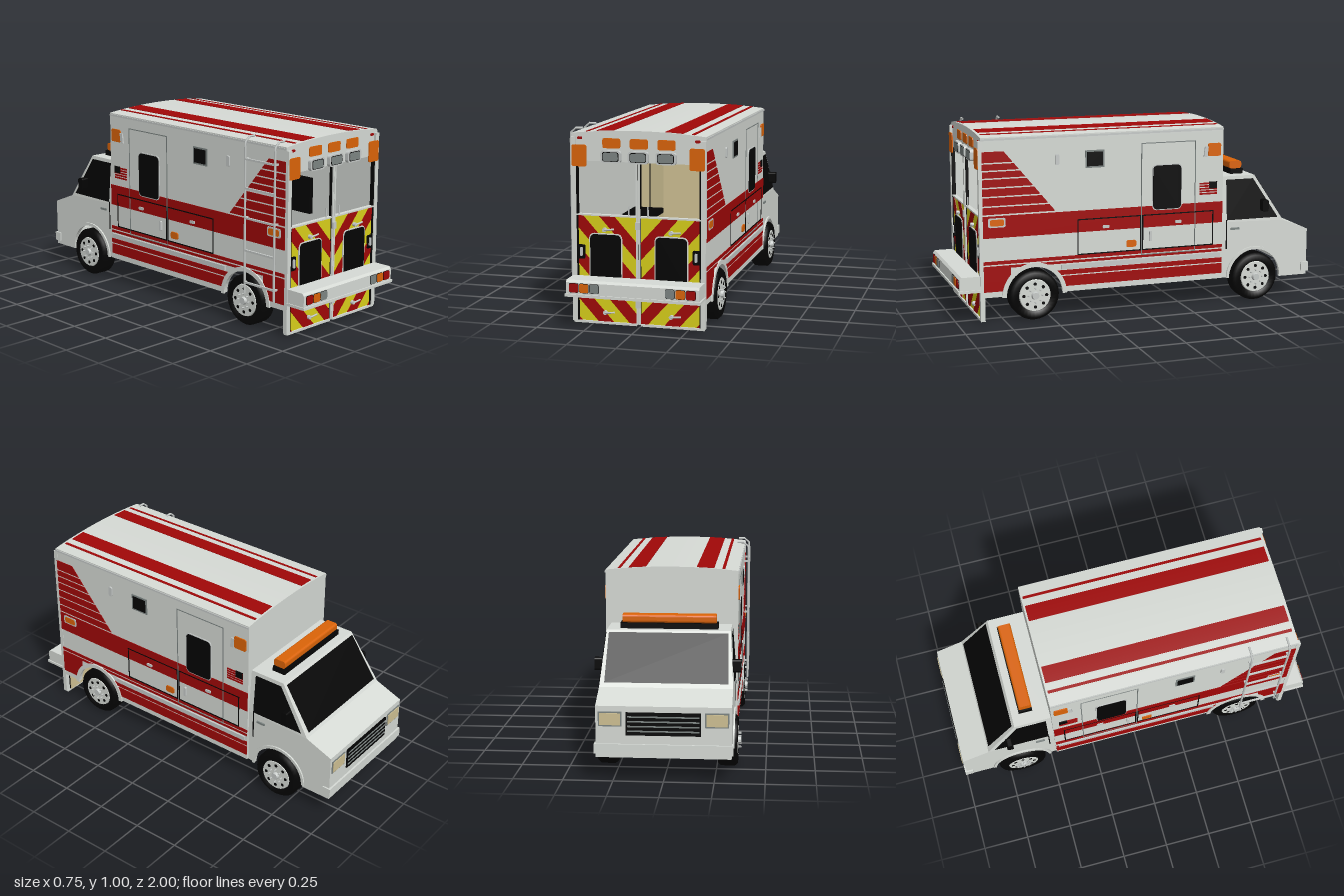
import * as THREE from 'three';

const mat = (name, color) => {
  const m = new THREE.MeshStandardMaterial({ color, side: THREE.DoubleSide });
  m.name = name;
  return m;
};

export function createModel() {
  const white = mat('white', 0xd6dad5), red = mat('red', 0xa00707), yellow = mat('yellow', 0xd9d01a);
  const amber = mat('amber', 0xdb6408), black = mat('black', 0x040404), tan = mat('tan', 0xcfc194);
  const grey = mat('grey', 0x7d8583), silver = mat('silver', 0xc6cac8);
  const root = new THREE.Group();
  root.name = 'ambulance';

  const add = (name, geo, m) => {
    const mesh = new THREE.Mesh(geo, m);
    mesh.name = name;
    root.add(mesh);
    return mesh;
  };
  // Box from its limits on each axis
  const box = (name, m, x0, x1, y0, y1, z0, z1) =>
    add(name, new THREE.BoxGeometry(Math.abs(x1 - x0), y1 - y0, z1 - z0), m)
      .position.set((x0 + x1) / 2, (y0 + y1) / 2, (z0 + z1) / 2);
  const extrude = (pts, depth) => new THREE.ExtrudeGeometry(
    new THREE.Shape(pts.map(p => new THREE.Vector2(p[0], p[1]))), { depth, bevelEnabled: false });
  // Plate on the rear, outline in (x, y)
  const rear = (name, m, pts, z, d = 0.005) => add(name, extrude(pts, d).translate(0, 0, z), m);
  // Plate on a side, outline in (z, y); s = 1 or -1
  const side = (name, m, s, pts, x = 0.345, d = 0.003) => add(name,
    extrude(pts.map(p => [-s * p[0], p[1]]), d).rotateY(s * Math.PI / 2).translate(s * x, 0, 0), m);
  const arc = (cu, cv, r, a0, a1, n) => Array.from({ length: n + 1 }, (_, i) => {
    const a = a0 + (a1 - a0) * i / n;
    return [cu + r * Math.cos(a), cv + r * Math.sin(a)];
  });
  const rect = (u0, u1, v0, v1) => [[u0, v0], [u1, v0], [u1, v1], [u0, v1]];
  const rr = (u0, u1, v0, v1, r = 0.01) => [[u1 - r, v1 - r], [u0 + r, v1 - r], [u0 + r, v0 + r], [u1 - r, v0 + r]]
    .flatMap(([u, v], i) => arc(u, v, r, i * Math.PI / 2, (i + 1) * Math.PI / 2, 4));
  // Flat face through corner points
  const face = (name, m, ...p) => {
    const g = new THREE.BufferGeometry();
    const v = [];
    for (let i = 1; i < p.length - 1; i++) v.push(...p[0], ...p[i], ...p[i + 1]);
    g.setAttribute('position', new THREE.Float32BufferAttribute(v, 3));
    g.computeVertexNormals();
    return add(name, g, m);
  };
  const tube = (name, m, pts, r) => add(name, new THREE.TubeGeometry(
    new THREE.CatmullRomCurve3(pts.map(p => new THREE.Vector3(...p)), false, 'catmullrom', 0.1), 24, r, 8), m);

  const RZ = 0.594, FZ = -0.668, WY = 0.135;

  // Arched roof and its stripes
  const roofY = x => 0.997 - 0.019 * (x / 0.345) ** 2;
  const strip = (x0, x1) => Array.from({ length: 13 }, (_, i) => x0 + (x1 - x0) * i / 12);
  add('roof', extrude([...strip(-0.345, 0.345).map(x => [x, roofY(x)]), [0.345, 0.955], [-0.345, 0.955]], 1.34)
    .translate(0, 0, -0.47), white);
  for (const [a, b] of [[-0.276, -0.261], [-0.219, -0.129], [0.135, 0.225], [0.268, 0.283]]) {
    const xs = strip(a, b);
    add('roofStripe', extrude([...xs.map(x => [x, roofY(x) + 0.0025]), ...xs.reverse().map(x => [x, roofY(x) - 0.001])], 1.315)
      .translate(0, 0, -0.46), red);
  }

  // Box body: floor, front wall and interior
  box('floor', tan, -0.325, 0.325, 0.285, 0.3, -0.47, 0.86);
  box('frontWall', white, -0.345, 0.345, 0.285, 0.96, -0.47, -0.45);
  box('innerFrontWall', tan, -0.325, 0.325, 0.3, 0.955, -0.45, -0.44);
  box('cabinet', tan, -0.325, -0.25, 0.3, 0.74, -0.44, -0.15);
  box('cabinetEdge', black, -0.25, -0.246, 0.4, 0.7, -0.16, -0.15);
  box('seatPad', black, -0.19, -0.03, 0.49, 0.515, 0.32, 0.54);
  for (const x of [-0.17, -0.06]) for (const z of [0.34, 0.5]) box('seatLeg', silver, x - 0.008, x + 0.008, 0.3, 0.49, z, z + 0.016);
  box('jumpSeat', black, 0.3, 0.325, 0.45, 0.65, 0.2, 0.45);

  for (const s of [1, -1]) {
    const arch = arc(RZ, WY, 0.155, 0.03, Math.PI - 0.03, 20);
    side('sideWall', white, s, [[0.87, 0.14], [0.87, 0.965], [-0.47, 0.965], [-0.47, 0.14], ...arch.slice().reverse()], 0.325, 0.02);
    side('roofEdge', silver, s, rect(-0.47, 0.87, 0.962, 0.972), 0.345, 0.004);
    // Red markings
    side('redBand', red, s, rect(-0.468, 0.865, 0.455, 0.57));
    const edge = y => 0.75 - (0.905 - y) * 0.836;
    const cuts = [0.909, 0.845, 0.805, 0.765, 0.717, 0.67, 0.62, 0.575];
    for (let i = 0; i < 7; i++) {
      const t = cuts[i] - 0.004, b = cuts[i + 1] + 0.004;
      side('slantStripe', red, s, [[0.865, b], [0.865, t], [edge(t), t], [edge(b), b]]);
    }
    const half = y => Math.sqrt(Math.max(0, 0.165 ** 2 - (y - WY) ** 2));
    for (const [b, t] of [[0.17, 0.225], [0.232, 0.257], [0.293, 0.306], [0.314, 0.332]]) {
      side('lowerStripe', red, s, [[0.865, b], [0.865, t], [RZ + half(t), t], [RZ + half(b), b]]);
      side('lowerStripe', red, s, [[RZ - half(b), b], [RZ - half(t), t], [-0.468, t], [-0.468, b]]);
    }
    side('rearLowerFill', red, s, rect(0.72, 0.865, 0.22, 0.3));
    side('rubRail', silver, s, rect(-0.455, 0.45, 0.262, 0.288), 0.345, 0.01);
    // Wheel arch trims
    for (const [z, x, o] of [[RZ, 0.343, 0.175], [FZ, 0.333, 0.168]])
      side('wheelArch', white, s, [...arc(z, WY, o, 0, Math.PI, 24), ...arc(z, WY, 0.152, Math.PI, 0, 24)], x, 0.01);
    // Locker outlines and side door
    const outline = (name, m, z0, z1, y0, y1, w, x) => {
      for (const r of [rect(z0, z1, y0, y0 + w), rect(z0, z1, y1 - w, y1), rect(z0, z0 + w, y0, y1), rect(z1 - w, z1, y0, y1)])
        side(name, m, s, r, x, 0.002);
    };
    outline('lockerSeam', black, 0.002, 0.358, 0.332, 0.525, 0.006, 0.347);
    outline('lockerSeam', black, -0.415, -0.004, 0.332, 0.525, 0.006, 0.347);
    outline('sideDoorSeam', grey, -0.31, 0.002, 0.305, 0.912, 0.005, 0.3465);
    side('doorWindowFrame', silver, s, rr(-0.23, -0.06, 0.545, 0.792, 0.025), 0.345, 0.005);
    side('doorWindow', black, s, rr(-0.225, -0.065, 0.55, 0.787, 0.022), 0.345, 0.007);
    side('smallWindowFrame', grey, s, rect(0.208, 0.312, 0.795, 0.888), 0.345, 0.005);
    side('smallWindow', black, s, rect(0.217, 0.303, 0.804, 0.879), 0.345, 0.007);
    side('sideVent', silver, s, rr(0.455, 0.477, 0.82, 0.876, 0.008), 0.345, 0.008);
    side('sideLamp', silver, s, [[-0.355, 0.82], [-0.362, 0.875], [-0.382, 0.875], [-0.375, 0.82]], 0.345, 0.008);
    side('frontAmberLight', amber, s, rr(-0.455, -0.38, 0.822, 0.892), 0.345, 0.006);
    side('lowerAmberLight', amber, s, rr(0.03, 0.085, 0.355, 0.392), 0.345, 0.006);
    side('rearMarkerFrame', silver, s, rr(0.745, 0.838, 0.51, 0.56), 0.345, 0.005);
    side('rearMarker', amber, s, rr(0.755, 0.828, 0.518, 0.552), 0.345, 0.007);
    for (const z of [0.2, -0.21]) side('lockerHandle', silver, s, rr(z - 0.018, z + 0.018, 0.468, 0.484, 0.005), 0.345, 0.009);
    side('doorHandle', silver, s, rr(-0.058, -0.044, 0.38, 0.435, 0.005), 0.345, 0.012);
    // Striped panel
    for (let i = 0; i < 5; i++) side('panelStripe', red, s, rect(-0.435, -0.333, 0.613 + i * 0.014, 0.622 + i * 0.014));
    side('panelCorner', black, s, rect(-0.435, -0.39, 0.645, 0.682), 0.345, 0.005);

    // Wheels
    for (const z of [RZ, FZ]) {
      const wheel = new THREE.Group();
      wheel.name = 'wheel';
      const part = (name, geo, m, y, x = 0, zz = 0) => {
        const p = new THREE.Mesh(geo, m);
        p.name = name;
        p.position.set(x, y, zz);
        wheel.add(p);
      };
      const prof = [[0, -0.045], [0.085, -0.05], [0.12, -0.05], [0.133, -0.035], [0.133, 0.035], [0.12, 0.05], [0.088, 0.05], [0.085, 0.03], [0, 0.03]];
      part('tyre', new THREE.LatheGeometry(prof.map(p => new THREE.Vector2(...p)), 32), black, 0);
      part('hub', new THREE.CylinderGeometry(0.083, 0.088, 0.016, 28), white, 0.042);
      part('hubCap', new THREE.CylinderGeometry(0.018, 0.022, 0.016, 16), silver, 0.057);
      for (let i = 0; i < 8; i++) {
        const a = i * Math.PI / 4, c = Math.cos(a), d = Math.sin(a);
        part('hubHole', new THREE.CylinderGeometry(0.009, 0.009, 0.003, 10), black, 0.05, 0.062 * c, 0.062 * d);
        part('wheelNut', new THREE.CylinderGeometry(0.004, 0.004, 0.016, 6), silver, 0.058, 0.038 * c, 0.038 * d);
      }
      wheel.rotation.z = -s * Math.PI / 2;
      wheel.position.set(s * 0.307, WY, z);
      root.add(wheel);
    }

    // Cab side: lower panel with arch, pillar panel, window, mirror
    side('cabSide', white, s, [[-0.47, 0.14], [-0.47, 0.45], [-0.84, 0.44], [-0.99, 0.38], [-0.99, 0.12], [-0.823, 0.12],
      ...arc(FZ, WY, 0.155, Math.PI, 0, 20)], 0.318, 0.017);
    face('cabPillars', white, [s * 0.335, 0.45, -0.47], [s * 0.335, 0.44, -0.84], [s * 0.315, 0.7, -0.67], [s * 0.315, 0.7, -0.47]);
    face('cabSideWindow', black, [s * 0.339, 0.46, -0.5], [s * 0.339, 0.46, -0.805], [s * 0.321, 0.682, -0.66], [s * 0.321, 0.682, -0.5]);
    side('cabDoorSeam', black, s, rect(-0.503, -0.497, 0.3, 0.46), 0.335, 0.002);
    side('cabDoorHandle', grey, s, rect(-0.575, -0.525, 0.405, 0.416), 0.335, 0.008);
    side('mirror', black, s, rr(-0.735, -0.7, 0.5, 0.566), 0.325, 0.047);
    box('headlightFrame', grey, s * 0.205, s * 0.322, 0.278, 0.352, -0.994, -0.985);
    box('headlight', tan, s * 0.212, s * 0.315, 0.285, 0.345, -0.998, -0.985);
  }

  // Cab shell
  const span = (name, m, a, b) => face(name, m, [-a[0], a[1], a[2]], [a[0], a[1], a[2]], [b[0], b[1], b[2]], [-b[0], b[1], b[2]]);
  span('cabRoof', white, [0.315, 0.7, -0.47], [0.315, 0.7, -0.67]);
  span('windshieldPanel', white, [0.315, 0.7, -0.67], [0.335, 0.44, -0.84]);
  span('windshield', black, [0.303, 0.69, -0.683], [0.31, 0.462, -0.833]);
  span('hood', white, [0.335, 0.44, -0.84], [0.335, 0.38, -0.99]);
  span('cabFront', white, [0.335, 0.38, -0.99], [0.335, 0.12, -0.99]);
  box('grille', black, -0.185, 0.185, 0.235, 0.35, -0.997, -0.985);
  for (let i = 0; i < 4; i++) box('grilleBar', grey, -0.178, 0.178, 0.253 + i * 0.024, 0.26 + i * 0.024, -1, -0.99);
  box('frontBumper', white, -0.343, 0.343, 0.14, 0.19, -1, -0.955);
  box('lightBarBase', black, -0.25, 0.25, 0.7, 0.728, -0.63, -0.555);
  add('lightBar', extrude(rr(0.555, 0.625, 0.728, 0.77, 0.012), 0.48).rotateY(Math.PI / 2).translate(-0.24, 0, 0), amber);

  // Rear header, posts and lamps
  box('rearHeader', white, -0.345, 0.345, 0.84, 0.965, 0.85, 0.87);
  for (const x of [-0.138, 0.004, 0.145]) {
    rear('rearAmberLight', amber, rr(x - 0.046, x + 0.046, 0.907, 0.957), 0.87);
    rear('rearLampFrame', silver, rr(x - 0.052, x + 0.052, 0.836, 0.897, 0.015), 0.87, 0.02);
    rear('rearLampRim', black, rr(x - 0.042, x + 0.042, 0.843, 0.89), 0.888, 0.003);
    rear('rearLamp', grey, rr(x - 0.039, x + 0.039, 0.846, 0.887), 0.89, 0.003);
  }
  box('centreSeal', black, -0.013, 0.013, 0.02, 0.84, 0.86, 0.876);
  for (const x of [-0.006, 0.006]) box('centrePost', white, x - 0.0045, x + 0.0045, 0.02, 0.84, 0.864, 0.884);

  // Keep the part of a convex outline where f is positive
  const clip = (pts, f) => pts.flatMap((p, i) => {
    const q = pts[(i + 1) % pts.length], a = f(p), b = f(q), out = a >= 0 ? [p] : [];
    if (a * b < 0) out.push([p[0] + (q[0] - p[0]) * a / (a - b), p[1] + (q[1] - p[1]) * a / (a - b)]);
    return out;
  });
  for (const s of [1, -1]) {
    const X = (a, b) => [Math.min(s * a, s * b), Math.max(s * a, s * b)];
    box('rearPost', white, s * 0.322, s * 0.347, 0.02, 0.96, 0.86, 0.884);
    box('rearPostSeal', black, s * 0.314, s * 0.322, 0.02, 0.84, 0.86, 0.88);
    // Chevron doors
    box('doorInside', tan, s * 0.012, s * 0.314, 0.02, 0.565, 0.855, 0.865);
    box('rearDoor', yellow, s * 0.012, s * 0.314, 0.02, 0.565, 0.865, 0.873);
    for (const [y0, y1] of [[0.565, 0.573], [0.012, 0.024]]) box('doorTrim', white, s * 0.012, s * 0.34, y0, y1, 0.858, 0.882);
    for (let c = 0.125; c < 0.9; c += 0.165) {
      const at = (o, y) => [c + o + (y - 0.565) * 0.9, y];
      let p = [at(0, 0.024), at(0.08, 0.024), at(0.08, 0.565), at(0, 0.565)];
      p = clip(clip(p, q => q[0] - 0.012), q => 0.314 - q[0]);
      if (p.length > 2) rear('chevron', red, p.map(q => [s * q[0], q[1]]), 0.873, 0.003);
    }
    rear('rearWindowFrame', white, rr(...X(0.084, 0.257), 0.2, 0.478, 0.025), 0.873, 0.006);
    rear('rearWindow', black, rr(...X(0.09, 0.251), 0.205, 0.472, 0.022), 0.873, 0.009);
    rear('latchPlate', black, rr(...X(0.28, 0.316), 0.343, 0.415, 0.006), 0.873, 0.007);
    rear('latch', silver, rr(...X(0.291, 0.304), 0.358, 0.402, 0.004), 0.873, 0.014);
    // Door handles point the same way on both doors
    const hx = s > 0 ? 0.17 : -0.175;
    for (const y of [0.497, 0.071]) {
      tube('rearHandle', silver, [[hx, y, 0.888], [hx + 0.025, y + 0.003, 0.89], [hx + 0.052, y + 0.005, 0.888]], 0.005);
      rear('handleKnob', silver, arc(hx, y, 0.011, 0, Math.PI * 2, 12).slice(1), 0.873, 0.017);
    }
    tube('grabRod', silver, [[s * 0.05, 0.565, 0.875], [s * 0.05, 0.6, 0.875], [s * 0.05, 0.622, 0.875]], 0.004);
    rear('cornerAmberLight', amber, rr(...X(0.265, 0.342), 0.813, 0.922), 0.881, 0.006);
    rear('roofMarker', red, rr(...X(0.29, 0.315), 0.948, 0.961, 0.005), 0.87, 0.004);
    // Bumper lamps
    for (const [m, x] of [[red, 0.301], [amber, 0.248], [grey, 0.195]]) {
      rear('bumperLampRim', black, rr(...X(x - 0.025, x + 0.025), 0.194, 0.242, 0.009), 0.992, 0.003);
      rear('bumperLamp', m, rr(...X(x - 0.023, x + 0.023), 0.196, 0.24, 0.008), 0.992, 0.006);
    }
  }
  for (const y of [0.525, 0.125]) box('doorLock', silver, -0.012, 0.012, y - 0.018, y + 0.018, 0.88, 0.892);

  // Rear step bumper
  add('rearBumper', extrude([[-0.88, 0.18], [-0.993, 0.18], [-0.993, 0.245], [-0.982, 0.257], [-0.88, 0.257]], 0.685)
    .rotateY(Math.PI / 2).translate(-0.3425, 0, 0), white);
  box('rearStep', white, -0.348, 0.348, 0.172, 0.186, 0.88, 1);

  // Ladder
  for (const z of [0.61, 0.815]) {
    tube('ladderRail', silver, [[-0.37, 0.18, z], [-0.37, 0.6, z], [-0.37, 0.96, z], [-0.362, 0.985, z], [-0.345, 0.996, z], [-0.305, 0.996, z]], 0.006);
    for (const y of [0.24, 0.58, 0.885]) box('ladderBracket', silver, -0.37, -0.343, y - 0.005, y + 0.005, z - 0.005, z + 0.005);
  }
  for (const y of [0.24, 0.41, 0.58, 0.735, 0.885]) box('ladderRung', silver, -0.375, -0.365, y - 0.005, y + 0.005, 0.61, 0.815);
  return root;
}
